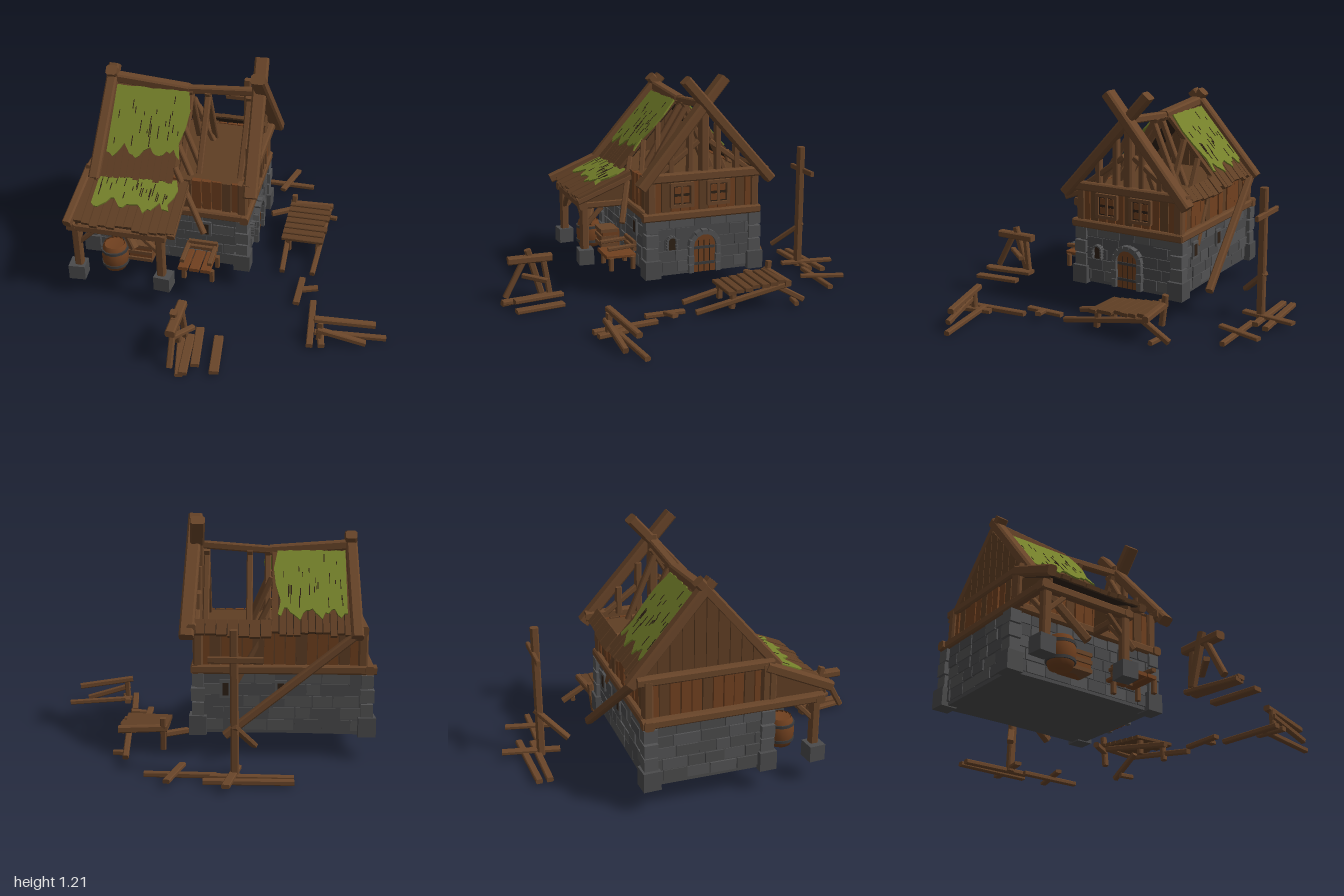
import * as THREE from 'three';

const mat = (name, color) => {
  const m = new THREE.MeshStandardMaterial({ color });
  m.name = name;
  return m;
};

export function createModel() {
  const root = new THREE.Group();
  const M = {
    beam: mat('beam wood', 0x694529), plank: mat('plank wood', 0x5f3e24), wall: mat('reddish boards', 0x70401f),
    dark: mat('dark gaps', 0x2e2015), stone: mat('stone', 0x4a4a4b), block: mat('stone blocks', 0x525253),
    moss: mat('moss', 0x74802a), iron: mat('iron', 0x3b3a3a),
  };
  let seed = 7;
  const rnd = (a = 0, b = 1) => {
    seed = (seed * 16807) % 2147483647;
    return a + (b - a) * (seed / 2147483647);
  };
  const add = (name, geo, material, parent = root) => {
    const m = new THREE.Mesh(geo, material);
    m.name = name;
    parent.add(m);
    return m;
  };
  const group = (name, parent = root) => {
    const g = new THREE.Group();
    g.name = name;
    parent.add(g);
    return g;
  };
  const box = (name, x, y, z, w, h, d, material, parent) => {
    const m = add(name, new THREE.BoxGeometry(w, h, d), material, parent);
    m.position.set(x, y, z);
    return m;
  };
  const poly = (pts, depth) => new THREE.ExtrudeGeometry(
    new THREE.Shape(pts.map(p => new THREE.Vector2(p[0], p[1]))), { depth, bevelEnabled: false });
  // Chamfered timber between two points, w across and h along its up side
  const beam = (name, a, b, w = 0.04, h = w, material = M.beam, parent = root) => {
    const A = new THREE.Vector3(...a), B = new THREE.Vector3(...b), L = A.distanceTo(B);
    const c = Math.min(w, h) * 0.18, x = w / 2, y = h / 2;
    const geo = poly([[-x + c, -y], [x - c, -y], [x, -y + c], [x, y - c], [x - c, y], [-x + c, y], [-x, y - c], [-x, -y + c]], L);
    const m = add(name, geo, material, parent);
    m.position.copy(A);
    if (Math.abs(B.y - A.y) > L * 0.9) m.up.set(0, 0, 1);
    m.lookAt(B);
    return m;
  };
  const beams = (name, list, parent) => list.forEach(p => beam(name, p[0], p[1], p[2], p[3], p[4], parent));

  // Stone ground floor
  const base = group('stoneBase');
  const core = new THREE.BoxGeometry(0.87, 0.32, 0.62, 12, 4, 8), cp = core.attributes.position;
  for (let i = 0; i < cp.count; i++) {
    const x = cp.getX(i), y = cp.getY(i), z = cp.getZ(i);
    if (y < -0.15) cp.setY(i, y + 0.02 * Math.cos(x * 3.6) * Math.cos(z * 4.5));
  }
  core.computeVertexNormals();
  add('stoneCore', core, M.stone, base).position.set(-0.385, 0.285, -0.1);
  const sides = [ // centre, turn, length of each wall
    [0.05, -0.1, Math.PI / 2, 0.62], [-0.82, -0.1, -Math.PI / 2, 0.62],
    [-0.385, 0.21, 0, 0.87], [-0.385, -0.41, Math.PI, 0.87]];
  sides.forEach(([x, z, turn, len], k) => {
    const g = group('stoneCourses', base);
    g.position.set(x, 0, z);
    g.rotation.y = turn;
    for (let r = 0; r < 5; r++) {
      const y = 0.172 + r * 0.062;
      for (let u = -len / 2; u < len / 2 - 0.02;) {
        const w = Math.min(rnd(0.07, 0.15), len / 2 - u), mid = u + w / 2, t = rnd(0.006, 0.02);
        if (!(k === 0 && Math.abs(mid) < 0.1 && y < 0.38))
          box('stoneBlock', mid, y, 0, w - 0.007, 0.056, t, rnd() < 0.6 ? M.stone : M.block, g);
        u += w;
      }
    }
  });
  for (const x of [-0.815, 0.04]) for (const z of [-0.4, 0.2]) {
    box('cornerFoot', x, 0.17, z, 0.09, 0.1, 0.09, M.stone, base).rotation.y = rnd(-0.1, 0.1);
    for (let i = 0; i < 3; i++) box('cornerStone', x, 0.255 + i * 0.075, z, 0.06 + 0.012 * (i % 2), 0.066, 0.07, M.block, base);
  }

  // Arched door with stone surround and a small niche window
  const arch = (w, h) => {
    const s = new THREE.Shape();
    s.moveTo(-w, 0); s.lineTo(w, 0); s.lineTo(w, h); s.absarc(0, h, w, 0, Math.PI, false); s.lineTo(-w, 0);
    return s;
  };
  const door = (name, z, y, w, h, material) => {
    const g = group(name);
    g.position.set(0.055, y, z);
    g.rotation.y = Math.PI / 2;
    add('panel', new THREE.ExtrudeGeometry(arch(w, h), { depth: 0.01, bevelEnabled: false }), material, g);
    const t = w * 0.42, n = 7;
    for (let i = 0; i < n; i++) {
      const a = Math.PI * (i + 0.5) / n, r = w + t / 2;
      box('archStone', Math.cos(a) * r, h + Math.sin(a) * r, 0.012, t, Math.PI * r / n * 0.96, 0.035, M.block, g).rotation.z = a;
    }
    for (const s of [-1, 1]) for (let i = 0; i < 3; i++)
      box('jambStone', s * (w + t / 2), h * (i + 0.5) / 3, 0.012, t * (1 + 0.2 * (i % 2)), h / 3 - 0.004, 0.035, M.block, g);
    return g;
  };
  const d = door('door', -0.1, 0.13, 0.065, 0.15, M.wall);
  for (const x of [-0.033, 0, 0.033]) box('doorGap', x, 0.09, 0.011, 0.004, 0.18, 0.003, M.dark, d);
  for (const y of [0.05, 0.14]) box('doorStrap', 0, y, 0.013, 0.12, 0.015, 0.006, M.iron, d);
  door('nicheWindow', 0.09, 0.27, 0.022, 0.05, M.dark);
  for (const [x, z] of [[-0.16, 0.222], [-0.1, -0.422], [-0.38, -0.422]]) {
    box('slitFrame', x, 0.36, z, 0.06, 0.095, 0.012, M.block);
    box('slitOpening', x, 0.36, z, 0.032, 0.065, 0.016, M.dark);
  }

  // Boarded upper floor
  const upper = group('upperFloor');
  box('wallCore', -0.37, 0.555, -0.1, 0.82, 0.2, 0.59, M.plank, upper);
  for (let i = 0; i < 15; i++) for (const z of [-0.4, 0.2])
    box('wallBoard', -0.75 + i * 0.054, 0.56, z, 0.048, 0.2, rnd(0.012, 0.03), i % 4 === 1 ? M.plank : M.wall, upper);
  for (let i = 0; i < 11; i++) for (const x of [-0.785, 0.045])
    box('wallBoard', x, 0.56, -0.37 + i * 0.054, rnd(0.012, 0.03), 0.2, 0.048, i % 4 === 1 ? M.plank : M.wall, upper);
  for (const x of [-0.79, 0.04]) for (const z of [-0.4, 0.2]) beam('cornerPost', [x, 0.44, z], [x, 0.67, z], 0.05, 0.05, M.beam, upper);
  beams('ringBeam', [
    [[-0.86, 0.465, -0.41], [0.07, 0.46, -0.41], 0.05, 0.045], [[-0.84, 0.465, 0.215], [0.06, 0.46, 0.215], 0.05, 0.045],
    [[-0.825, 0.465, -0.44], [-0.825, 0.465, 0.5], 0.045, 0.045], [[0.055, 0.46, -0.43], [0.055, 0.46, 0.25], 0.045, 0.045],
    [[-0.79, 0.67, -0.45], [-0.79, 0.67, 0.24], 0.045, 0.045], [[0.07, 0.675, -0.47], [0.07, 0.675, 0.26], 0.045, 0.05]], upper);
  // Paired gable windows
  for (const z of [0.03, -0.18]) {
    const g = group('window', upper);
    g.position.set(0.062, 0.575, z);
    box('windowPane', 0, 0, 0, 0.012, 0.11, 0.11, M.dark, g);
    for (const s of [-1, 1]) {
      box('windowSide', 0.006, 0, s * 0.058, 0.024, 0.13, 0.018, M.beam, g);
      box('windowRail', 0.006, s * 0.06, 0, 0.024, 0.018, 0.13, M.beam, g);
      for (const t of [-1, 1]) box('shutterPanel', 0.006, t * 0.026, s * 0.025, 0.006, 0.036, 0.034, M.wall, g);
    }
    box('windowBar', 0.008, 0, 0, 0.014, 0.11, 0.013, M.beam, g);
  }

  // Planked left gable, one board at a time under the slope
  const roofY = z => 1.04 - 1.12 * Math.abs(z + 0.1);
  for (let i = 0; i < 10; i++) {
    const z0 = -0.4 + i * 0.06, z1 = z0 + 0.056;
    const geo = poly([[-z0, 0.66], [-z0, roofY(z0)], [-z1, roofY(z1)], [-z1, 0.66]], rnd(0.018, 0.028));
    geo.rotateY(Math.PI / 2);
    add('gableBoard', geo, M.plank).position.x = -0.775;
  }
  // Open right gable framing
  for (const z of [-0.1, -0.02, -0.18, 0.09, -0.29]) {
    const main = z === -0.1;
    beam('gablePost', [0.05, 0.68, z], [0.05, main ? 1.1 : roofY(z), z], main ? 0.05 : 0.035, main ? 0.05 : 0.035);
  }
  beams('gableBrace', [[[0.05, 0.69, 0.16], [0.05, 0.86, -0.07], 0.03], [[0.05, 0.69, -0.36], [0.05, 0.86, -0.13], 0.03]]);

  // Crossed barge timbers at both ends
  for (const s of [-1, 1]) {
    beam('rightBarge', [0.095, 0.635, -0.1 + s * 0.375], [0.065 - s * 0.012, 1.195, -0.1 - s * 0.115], 0.075, 0.055);
    beam('leftBarge', [-0.755, 0.64, -0.1 + s * 0.375], [-0.74, 1.115, -0.1 - s * 0.035], 0.06, 0.055);
  }
  // Ridge
  beams('ridgeBeam', [[[-0.73, 1.06, -0.1], [-0.32, 1.03, -0.1], 0.06, 0.05], [[-0.33, 1.03, -0.1], [0.08, 1.06, -0.1], 0.045, 0.04]]);

  // Ragged moss sheet in slope coordinates, s flips it for the back
  const mossSheet = (x0, x1, v0, v1, s, parent, y) => {
    const pts = [], n = 22;
    for (let i = 0; i <= n; i++) pts.push([x0 + (x1 - x0) * i / n, s * (v0 + rnd(0, 0.008))]);
    [0.3, 0.55, 0.8].forEach((t, i) => pts.push([x1 + [0.02, 0.01, -0.015][i], s * (v0 + (v1 - v0) * t)]));
    for (let i = n; i >= 0; i--) pts.push([x0 + (x1 - x0) * i / n, s * (v1 + 0.025 * Math.sin(i * 0.9) + rnd(-0.025, 0.015))]);
    const geo = poly(pts, 0.009);
    geo.rotateX(Math.PI / 2);
    add('moss', geo, M.moss, parent).position.y = y;
    for (let i = 0; i < 24; i++) {
      const len = rnd(0.02, 0.07), v = rnd(v0 + 0.05, v1 - 0.05);
      box('mossGap', rnd(x0 + 0.02, x1 - 0.02), y + 0.0005, s * v, 0.004, 0.003, len, M.dark, parent);
    }
  };
  const planks = (x0, x1, n, v0, v1, s, parent) => {
    const w = (x1 - x0) / n;
    box('underBoard', (x0 + x1) / 2, -0.012, s * (v0 + v1) / 2, x1 - x0 - 0.02, 0.01, v1 - v0 - 0.03, M.dark, parent);
    for (let i = 0; i < n; i++) {
      const e = v1 + rnd(-0.015, 0.012);
      box('roofPlank', x0 + (i + 0.5) * w, rnd(-0.003, 0.002), s * (v0 + e) / 2, w - 0.004, 0.02, e - v0, M.plank, parent);
    }
  };

  // Main roof: planked half and bare rafters
  for (const s of [1, -1]) {
    const g = group(s > 0 ? 'frontSlope' : 'backSlope');
    g.position.set(0, 1.045, -0.1);
    g.rotation.x = s * 0.842;
    planks(-0.73, -0.33, 11, 0.01, 0.53, s, g);
    mossSheet(-0.71, s > 0 ? -0.31 : -0.36, 0.03, s > 0 ? 0.39 : 0.42, s, g, 0.02);
    for (const x of [-0.31, -0.215, 0.01])
      beam('rafter', [x, -0.02, 0], [x, -0.02, s * 0.54], 0.033, 0.03, M.beam, g);
    for (const v of [0.19, 0.32, 0.44])
      beam('purlin', [-0.33, 0, s * v], [0.06, 0, s * (v - 0.01)], 0.03, 0.028, M.beam, g);
    beam('eaveBeam', [-0.76, 0, s * 0.52], [s > 0 ? -0.3 : 0.08, 0, s * 0.53], 0.04, 0.04, M.beam, g);
    if (s < 0) planks(-0.33, 0.06, 7, 0.45, 0.54, s, g);
  }

  // Lean-to porch roof
  const lean = group('leanToRoof');
  lean.position.set(0, 0.645, 0.215);
  lean.rotation.x = 0.4;
  planks(-0.8, -0.25, 12, 0, 0.335, 1, lean);
  mossSheet(-0.73, -0.31, 0.01, 0.2, 1, lean, 0.02);
  beams('porchEdge', [
    [[-0.8, 0.66, 0.2], [-0.825, 0.515, 0.54], 0.045, 0.05], [[-0.27, 0.62, 0.21], [-0.27, 0.5, 0.52], 0.04, 0.035],
    [[-0.85, 0.46, 0.475], [-0.31, 0.46, 0.475], 0.045, 0.045], [[-0.34, 0.46, 0.2], [-0.34, 0.46, 0.5], 0.04, 0.04],
    [[-0.8, 0.46, 0.23], [-0.8, 0.66, 0.23], 0.04, 0.04]]);
  for (const x of [-0.8, -0.34]) {
    const side = poly([[-0.22, 0.47], [-0.22, 0.62], [-0.49, 0.505], [-0.49, 0.47]], 0.015);
    side.rotateY(Math.PI / 2);
    add('porchSideBoards', side, M.plank).position.x = x;
    const px = x < -0.5 ? -0.805 : -0.345, s = x < -0.5 ? 1 : -1;
    beam('porchPost', [px, 0.18, 0.465], [px, 0.45, 0.465], 0.045);
    beam('porchBrace', [px, 0.34, 0.465], [px + s * 0.1, 0.44, 0.465], 0.025);
    beam('porchBrace', [px, 0.34, 0.455], [px, 0.44, 0.36], 0.025);
    box('porchFoot', px - s * 0.01, 0.165, 0.465, 0.09, 0.085, 0.085, M.stone).rotation.y = s * 0.08;
  }

  // Barrel, crate and bench
  const barrel = group('barrel');
  barrel.position.set(-0.64, 0.135, 0.36);
  const prof = [[0, 0], [0.058, 0], [0.07, 0.04], [0.074, 0.078], [0.07, 0.115], [0.058, 0.155], [0.052, 0.147], [0, 0.147]];
  add('barrelBody', new THREE.LatheGeometry(prof.map(p => new THREE.Vector2(...p)), 14), M.wall, barrel);
  for (const y of [0.035, 0.12]) add('barrelHoop', new THREE.CylinderGeometry(0.074, 0.074, 0.015, 14), M.iron, barrel).position.y = y;
  box('crate', -0.505, 0.22, 0.28, 0.13, 0.1, 0.1, M.wall);
  for (const y of [0.18, 0.225, 0.265]) box('crateSlat', -0.505, y, 0.29, 0.135, 0.02, 0.1, M.beam);
  for (let i = 0; i < 3; i++) beam('benchSeat', [-0.25 + i * 0.062, 0.21, 0.24], [-0.245 + i * 0.062, 0.215, 0.41], 0.055, 0.02, M.wall);
  for (const x of [-0.245, -0.09]) for (const z of [0.26, 0.385]) beam('benchLeg', [x, 0.14, z], [x, 0.21, z], 0.025);
  for (const y of [0.25, 0.285]) beam('benchBack', [-0.25, y, 0.25], [-0.09, y, 0.25], 0.02, 0.025);
  for (const x of [-0.25, -0.1]) beam('benchArm', [x, 0.27, 0.24], [x, 0.26, 0.4], 0.025, 0.02);

  // Collapsed table beside the door
  for (let i = 0; i < 7; i++)
    beam('tablePlank', [0.2, 0.115 + i * 0.005, -0.115 - i * 0.048], [0.435 + rnd(-0.01, 0.015), 0.12 + i * 0.005, -0.11 - i * 0.048], 0.044, 0.02, M.plank);
  beams('tableFrame', [
    [[0.24, 0.03, 0.09], [0.215, 0.13, -0.42], 0.028], [[0.41, 0.03, 0.08], [0.43, 0.13, -0.42], 0.028],
    [[0.2, 0.145, -0.41], [0.45, 0.14, -0.43], 0.035], [[0.4, 0.13, -0.36], [0.4, 0.025, -0.54], 0.03],
    [[0.39, 0.03, -0.48], [0.47, 0.03, -0.47], 0.025], [[0.1, 0.11, -0.33], [0.21, 0.11, -0.4], 0.03],
    [[0.22, 0.03, -0.4], [0.22, 0.2, -0.42], 0.03], [[0.41, 0.03, -0.12], [0.41, 0.12, -0.13], 0.03], [[0.24, 0.03, -0.12], [0.24, 0.11, -0.12], 0.03]]);

  // Broken fence behind the house
  beams('brokenFence', [
    [[-0.16, 0.02, -0.79], [-0.15, 0.74, -0.79], 0.04], [[-0.29, 0.6, -0.805], [-0.03, 0.6, -0.805], 0.02, 0.03],
    [[-0.44, 0.025, -0.805], [-0.04, 0.03, -0.81], 0.035, 0.025], [[-0.44, 0.025, -0.86], [-0.01, 0.03, -0.88], 0.035, 0.025],
    [[-0.12, 0.045, -0.99], [-0.17, 0.04, -0.69], 0.04, 0.02], [[-0.25, 0.14, -0.66], [-0.15, 0.28, -0.81], 0.035, 0.025],
    [[-0.07, 0.025, -0.78], [0.28, 0.025, -0.775], 0.03, 0.025], [[0.1, 0.045, -0.68], [0.16, 0.04, -0.92], 0.035, 0.02]]);

  // Scattered timber on the right
  beams('looseTimber', [
    [[0.365, 0.03, 0.13], [0.365, 0.03, 0.345], 0.035, 0.022], [[0.38, 0.04, 0.235], [0.465, 0.05, 0.215], 0.035, 0.022],
    [[0.455, 0.03, 0.31], [0.49, 0.03, 0.655], 0.035, 0.025], [[0.52, 0.03, 0.49], [0.55, 0.03, 0.645], 0.035, 0.025],
    [[0.5, 0.15, 0.58], [0.81, 0.115, 0.52], 0.035, 0.03], [[0.52, 0.1, 0.6], [0.77, 0.03, 0.575], 0.03, 0.03],
    [[0.5, 0.035, 0.55], [0.87, 0.018, 0.5], 0.03, 0.025], [[0.53, 0.03, 0.59], [0.535, 0.14, 0.585], 0.03, 0.03]]);

  // Sawhorse and boards in front
  beams('sawhorse', [
    [[-0.165, 0.235, 0.7], [-0.165, 0.235, 0.94], 0.05, 0.04], [[-0.17, 0.03, 0.96], [-0.17, 0.25, 0.84], 0.03],
    [[-0.18, 0.03, 0.76], [-0.175, 0.285, 0.83], 0.035], [[-0.15, 0.03, 0.72], [-0.16, 0.24, 0.75], 0.03],
    [[-0.1, 0.12, 0.74], [-0.18, 0.14, 0.86], 0.03, 0.025]]);
  beams('looseBoard', [
    [[0.02, 0.025, 0.685], [0.055, 0.025, 0.945], 0.05, 0.022], [[-0.085, 0.045, 0.665], [-0.045, 0.045, 0.935], 0.045, 0.022],
    [[-0.125, 0.03, 0.71], [-0.095, 0.03, 0.99], 0.045, 0.022], [[-0.175, 0.02, 0.71], [-0.115, 0.015, 0.99], 0.04, 0.022]]);
  return root;
}
